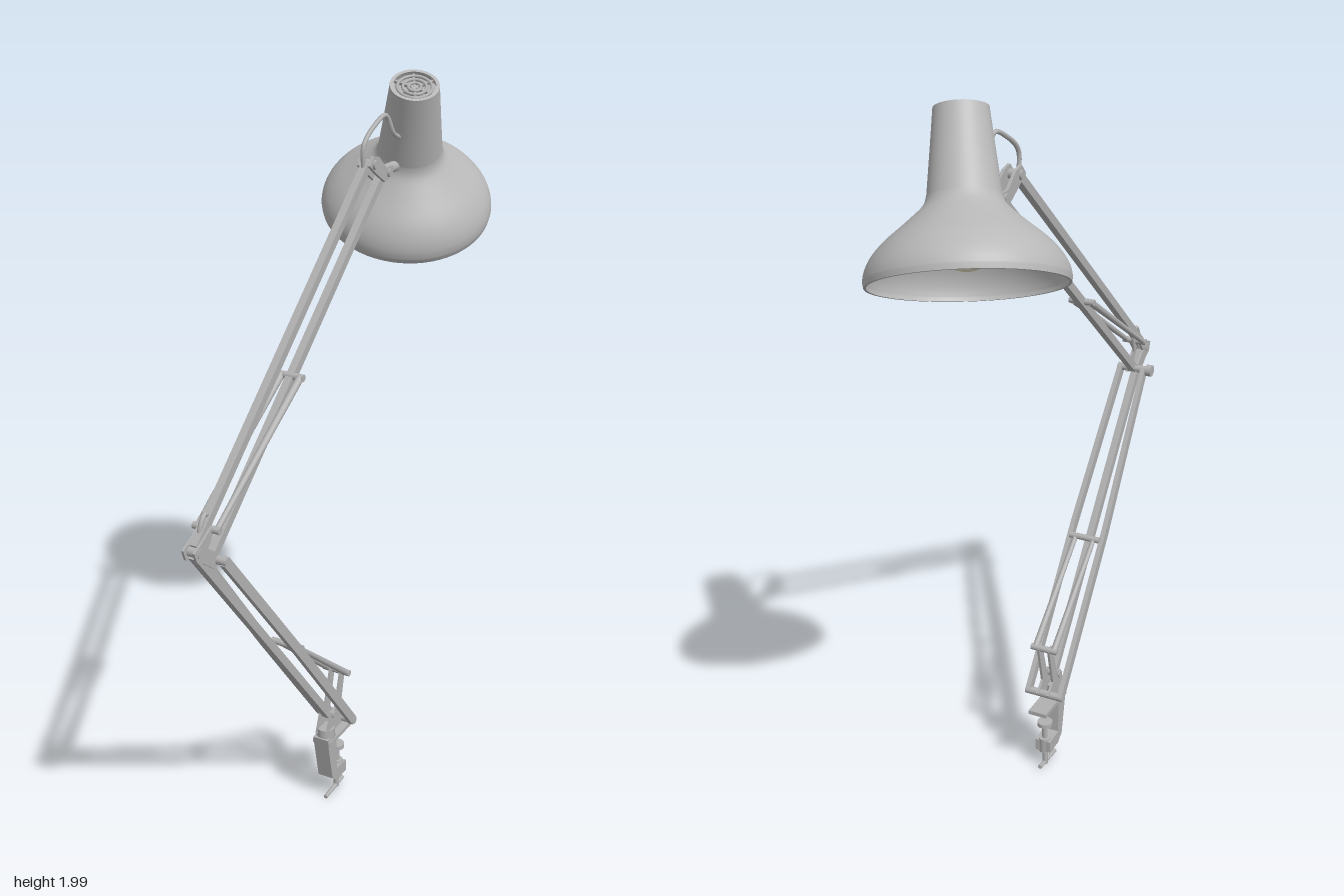
import * as THREE from 'three';

const V = (x, y, z) => new THREE.Vector3(x, y, z);

export function createModel() {
  const model = new THREE.Group();
  model.name = 'deskLamp';
  const paint = new THREE.MeshStandardMaterial({ color: 0xb8b8b8, side: THREE.DoubleSide });
  paint.name = 'grey paint';
  const metal = new THREE.MeshStandardMaterial({ color: 0xb0b0b0 });
  metal.name = 'grey metal';
  const glass = new THREE.MeshStandardMaterial({ color: 0xe6e3c8 });
  glass.name = 'cream bulb';

  // The arm and clamp share one vertical plane, slightly off centre
  const arm = new THREE.Group();
  arm.name = 'armAndClamp';
  arm.position.x = 0.037;
  model.add(arm);

  const add = (parent, name, geometry, material = metal) => {
    const mesh = new THREE.Mesh(geometry, material);
    mesh.name = name;
    parent.add(mesh);
    return mesh;
  };
  // Square bar between two points
  const bar = (name, a, b, w = 0.018, h = 0.022) => {
    const m = add(arm, name, new THREE.BoxGeometry(w, h, a.distanceTo(b)));
    m.position.copy(a).lerp(b, 0.5);
    m.quaternion.setFromUnitVectors(V(0, 0, 1), b.clone().sub(a).normalize());
    return m;
  };
  // Round rod between two points
  const rod = (name, a, b, r0, r1 = r0) => {
    const m = add(arm, name, new THREE.CylinderGeometry(r1, r0, a.distanceTo(b), 16));
    m.position.copy(a).lerp(b, 0.5);
    m.quaternion.setFromUnitVectors(V(0, 1, 0), b.clone().sub(a).normalize());
    return m;
  };
  // Pin running from side to side
  const pin = (name, y, z, half, r) => rod(name, V(-half, y, z), V(half, y, z), r);
  // Flat plate drawn as [z, y] corners
  const plate = (name, corners, x, t) => {
    const shape = new THREE.Shape(corners.map(([z, y]) => new THREE.Vector2(z, y)));
    const m = add(arm, name, new THREE.ExtrudeGeometry(shape, { depth: t, bevelEnabled: false }));
    m.rotation.y = -Math.PI / 2;
    m.position.x = x + t / 2;
    return m;
  };
  const cable = (name, points, r = 0.006) =>
    add(arm, name, new THREE.TubeGeometry(new THREE.CatmullRomCurve3(points), 32, r, 8));

  // Clamp body, jaw, and foot
  plate('clampBody', [[0.075, 0.225], [0.025, 0.225], [0.02, 0.1], [-0.035, 0.095],
    [-0.035, 0.06], [0.02, 0.06], [0.045, 0.08]], 0, 0.046);
  add(arm, 'clampPlate', new THREE.BoxGeometry(0.054, 0.012, 0.14)).position.set(0, 0.21, 0);
  rod('clampSocket', V(0, 0.215, 0.045), V(0, 0.25, 0.045), 0.026);
  rod('clampScrew', V(0, 0.008, -0.02), V(0, 0.15, -0.02), 0.008);
  rod('clampPad', V(0, 0.143, -0.02), V(0, 0.155, -0.02), 0.022);
  rod('screwBoss', V(0, 0.055, -0.02), V(0, 0.1, -0.02), 0.018);
  rod('clampHandle', V(0, 0.008, 0.045), V(0, 0.016, -0.055), 0.006);

  // Base bracket, carrying the lower arm and its springs
  for (const s of [-1, 1]) {
    plate('baseBracket', [[0.07, 0.235], [0.045, 0.3], [0.02, 0.305], [-0.01, 0.41],
      [-0.03, 0.4], [-0.005, 0.285], [-0.035, 0.255], [-0.02, 0.238]], s * 0.016, 0.007);
  }
  pin('basePin', 0.25, -0.02, 0.058, 0.011);
  pin('baseRearPin', 0.29, 0.035, 0.024, 0.01);
  pin('springBasePin', 0.4, -0.02, 0.04, 0.009);

  // Lower arm: one central bar and a pair that narrows toward the elbow
  bar('lowerCentreBar', V(0, 0.285, 0.035), V(0, 1.068, 0.656), 0.02, 0.022);
  const foot = V(0, 0.25, -0.02), elbow = V(0, 1.03, 0.587);
  const bend = foot.clone().lerp(elbow, 0.5);
  for (const s of [-1, 1]) {
    const at = (p, x) => V(s * x, p.y, p.z);
    bar('lowerSideBar', at(foot, 0.05), at(bend, 0.05), 0.014, 0.026);
    bar('lowerSideBar', at(bend, 0.05), at(elbow, 0.036), 0.014, 0.026);
    rod('lowerSpring', V(s * 0.028, 0.4, -0.02), V(s * 0.028, 0.624, 0.25), 0.009, 0.007);
    rod('upperSpring', V(s * 0.026, 1.112, 0.6), V(s * 0.026, 1.355, 0.22), 0.007, 0.01);
  }
  pin('lowerSpringPin', 0.624, 0.25, 0.046, 0.009);
  pin('upperSpringPin', 1.355, 0.22, 0.036, 0.009);
  pin('upperSpringRoot', 1.112, 0.6, 0.036, 0.009);

  // Elbow bracket with its pins and tightening knob
  for (const s of [-1, 1]) {
    plate('elbowBracket', [[0.68, 1.085], [0.67, 1.058], [0.645, 1.045], [0.6, 1.012],
      [0.575, 1.02], [0.585, 1.045], [0.625, 1.075], [0.595, 1.11], [0.61, 1.12],
      [0.645, 1.1]], s * 0.015, 0.006);
  }
  pin('elbowPin', 1.03, 0.587, 0.045, 0.011);
  pin('elbowRearPin', 1.075, 0.655, 0.02, 0.012);
  rod('elbowKnob', V(-0.062, 1.03, 0.587), V(-0.045, 1.03, 0.587), 0.017);
  cable('elbowCable', [V(0, 1.08, 0.635), V(0, 1.13, 0.625), V(0, 1.15, 0.607),
    V(0, 1.13, 0.59), V(0, 1.08, 0.598)]);

  // Upper arm
  bar('upperTopBar', V(0, 1.085, 0.652), V(0, 1.79, -0.16), 0.02, 0.022);
  bar('upperBottomBar', V(0, 1.03, 0.59), V(0, 1.755, -0.25), 0.02, 0.022);

  // Head bracket and swivel
  for (const s of [-1, 1]) {
    plate('headBracket', [[-0.145, 1.79], [-0.165, 1.812], [-0.195, 1.805], [-0.235, 1.77],
      [-0.275, 1.77], [-0.27, 1.745], [-0.23, 1.735], [-0.18, 1.765]], s * 0.015, 0.008);
  }
  pin('headPin', 1.79, -0.17, 0.025, 0.012);
  pin('headLowerPin', 1.755, -0.25, 0.025, 0.011);
  rod('headSwivel', V(0, 1.757, -0.255), V(0, 1.757, -0.33), 0.014);
  cable('headCable', [V(0, 1.78, -0.145), V(0, 1.84, -0.145), V(0.005, 1.885, -0.2),
    V(0.012, 1.9, -0.24), V(0.02, 1.85, -0.272), V(0.03, 1.825, -0.33)]);

  // Shade assembly, tilted along its own axis from rim to cap
  const head = new THREE.Group();
  head.name = 'lampHead';
  head.position.set(-0.003, 1.617, -0.475);
  head.quaternion.setFromUnitVectors(V(0, 1, 0), V(0.2366, 0.884, 0.403).normalize());
  model.add(head);

  const P = (r, y) => new THREE.Vector2(r, y);
  const flare = new THREE.SplineCurve([P(0.23, 0.012), P(0.226, 0.034), P(0.212, 0.062),
    P(0.184, 0.095), P(0.135, 0.137), P(0.095, 0.174), P(0.084, 0.2)]).getPoints(24);
  const outer = [P(0.228, 0), ...flare, P(0.073, 0.3), P(0.063, 0.395)];
  const inner = outer.map((p) => P(p.x - 0.006, p.y - (p.y > 0.01 ? 0.004 : 0)));
  add(head, 'shadeOutside', new THREE.LatheGeometry(outer, 64), paint);
  add(head, 'shadeInside', new THREE.LatheGeometry(inner.reverse(), 64), paint);
  const flatRing = (name, r0, r1, y) => {
    const m = add(head, name, new THREE.RingGeometry(r0, r1, 64), paint);
    m.rotation.x = -Math.PI / 2;
    m.position.y = y;
  };
  flatRing('shadeRim', 0.222, 0.228, 0);
  flatRing('capRim', 0.054, 0.063, 0.395);

  // Vented cap: a recessed floor, concentric rings and spokes
  add(head, 'capFloor', new THREE.CylinderGeometry(0.06, 0.06, 0.006, 48)).position.y = 0.376;
  for (const r of [0.016, 0.03, 0.044]) {
    const ring = add(head, 'ventRing', new THREE.TorusGeometry(r, 0.0042, 8, 48));
    ring.rotation.x = Math.PI / 2;
    ring.position.y = 0.389;
  }
  for (let i = 0; i < 3; i++) {
    const spoke = add(head, 'ventSpoke', new THREE.BoxGeometry(0.11, 0.008, 0.006));
    spoke.position.y = 0.385;
    spoke.rotation.y = (i * Math.PI) / 3;
  }

  // Bulb and socket
  add(head, 'bulb', new THREE.SphereGeometry(0.068, 32, 24), glass).position.y = 0.1;
  add(head, 'bulbNeck', new THREE.CylinderGeometry(0.03, 0.045, 0.06, 32), glass).position.y = 0.175;
  add(head, 'bulbSocket', new THREE.CylinderGeometry(0.036, 0.036, 0.18, 32)).position.y = 0.285;

  return model;
}
